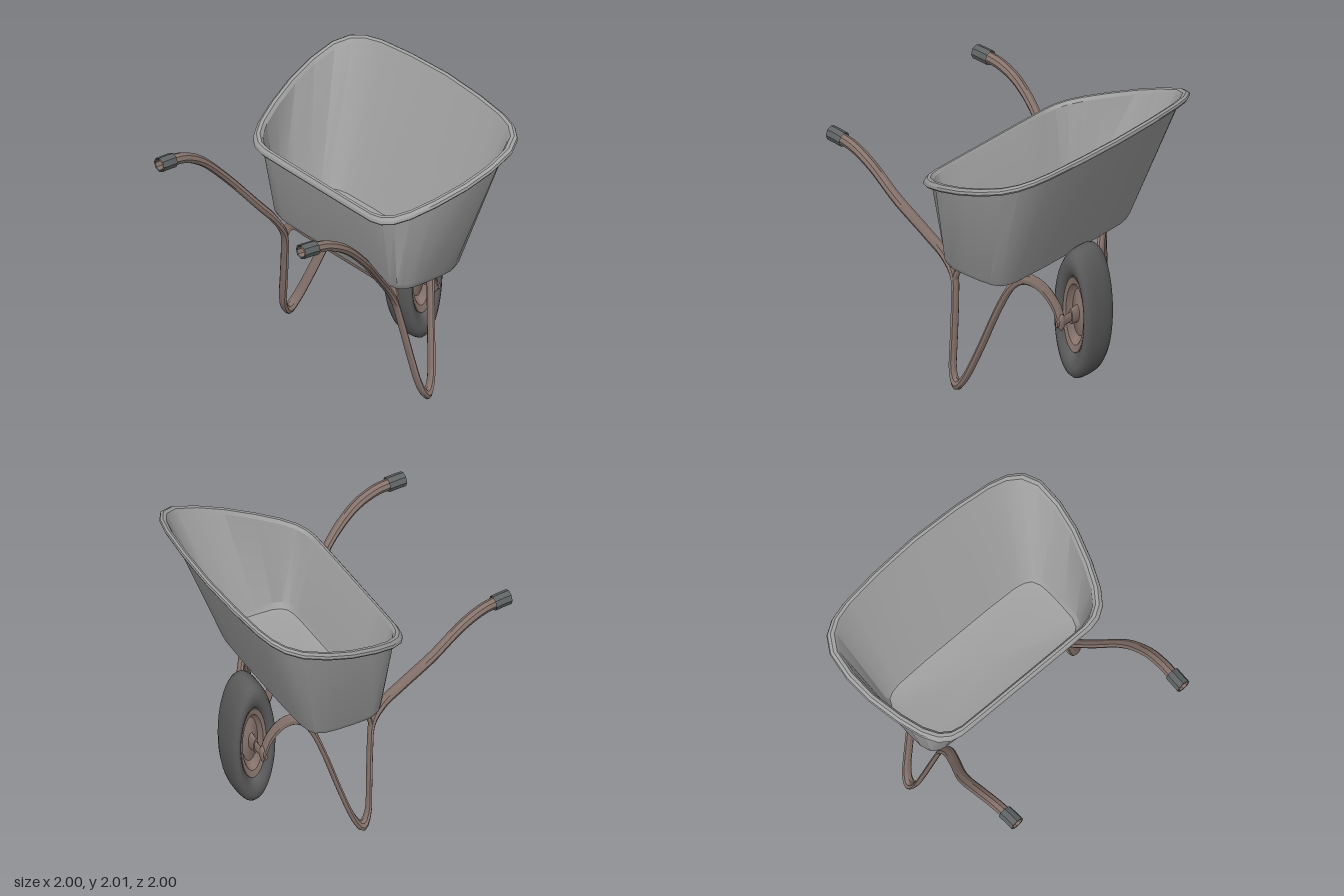
import * as THREE from 'three';
import { toCreasedNormals } from 'three/addons/utils/BufferGeometryUtils.js';

const SQUASH = 1 / 3; // frame and wheel are round before being narrowed along x

const mat = (color, side = THREE.FrontSide) => new THREE.MeshStandardMaterial({ color, side });
const trayMat = mat(0xa0a0a0, THREE.DoubleSide);
const frameMat = mat(0x86736c, THREE.DoubleSide);
const tyreMat = mat(0x5c5c5c);
const gripMat = mat(0x606464, THREE.DoubleSide);

function add(parent, name, geometry, material) {
  const mesh = new THREE.Mesh(geometry, material);
  mesh.name = name;
  parent.add(mesh);
  return mesh;
}

// Tube through [x, y, z] points, with z mirrored by side
function tube(points, side, radius, segments, sides = 8) {
  const path = new THREE.CatmullRomCurve3(
    points.map(([x, y, z]) => new THREE.Vector3(x / SQUASH, y, z * side)));
  return toCreasedNormals(new THREE.TubeGeometry(path, segments, radius, sides), 0.6);
}

// Half outlines [x, z] from the rear centre to the front centre
const RIM = [[-0.22, 0], [-0.22, 0.35], [-0.218, 0.6], [-0.2, 0.69], [-0.15, 0.77], [-0.05, 0.84],
  [0.12, 0.91], [0.35, 0.975], [0.56, 1], [0.75, 0.985], [0.86, 0.92], [0.92, 0.82],
  [0.955, 0.68], [0.985, 0.38], [1, 0]];
const BASE = [[-0.055, 0], [-0.055, 0.3], [-0.055, 0.54], [-0.05, 0.61], [-0.035, 0.67], [0, 0.71],
  [0.07, 0.735], [0.2, 0.74], [0.34, 0.74], [0.44, 0.73], [0.505, 0.7], [0.535, 0.65],
  [0.552, 0.57], [0.56, 0.3], [0.56, 0]];
const mirrorLoop = (half) => [...half, ...half.slice(1, -1).reverse().map(([x, z]) => [x, -z])];

function trayGeometry() {
  const rim = mirrorLoop(RIM), base = mirrorLoop(BASE);
  // Loop grown by e around its centre
  const grow = (loop, cx, hx, hz, e) => loop.map(([x, z]) =>
    [cx + (x - cx) * (1 + 0.75 * e / hx), z * (1 + e / hz)]);
  const baseRow = (e, y) => grow(base, 0.2525, 0.3075, 0.74, e).map(([x, z]) => [x, y, z]);
  const rimRow = (e, dy) => grow(rim, 0.39, 0.61, 1, e).map(([x, z]) => [x, 1.645 + 0.368 * x + dy, z]);
  const centre = (y) => base.map(() => [0.25, y, 0]);
  const rows = [
    centre(0.912), baseRow(-0.08, 0.914), baseRow(-0.025, 0.925), baseRow(0, 0.97), // underside
    rimRow(-0.055, -0.03), // outer wall
    rimRow(-0.01, -0.05), rimRow(0, -0.035), rimRow(-0.005, -0.015), rimRow(-0.025, 0),
    rimRow(-0.05, -0.003), rimRow(-0.07, -0.03), // rolled lip
    baseRow(-0.015, 0.99), baseRow(-0.04, 0.95), baseRow(-0.1, 0.935), centre(0.934), // inside
  ];
  const n = rim.length, index = [];
  for (let r = 0; r < rows.length - 1; r++) {
    for (let i = 0; i < n; i++) {
      const j = (i + 1) % n, a = r * n, b = a + n;
      if (r > 0) index.push(a + i, a + j, b + j);
      if (r < rows.length - 2) index.push(a + i, b + j, b + i);
    }
  }
  const g = new THREE.BufferGeometry();
  g.setAttribute('position', new THREE.Float32BufferAttribute(rows.flat(2), 3));
  g.setIndex(index);
  return toCreasedNormals(g, 0.45);
}

// Symmetric profile [radius, half width] turned around the z axis
function wheelLathe(half, crease) {
  const pts = [...half.map(([r, w]) => new THREE.Vector2(r, -w)),
    ...half.slice().reverse().map(([r, w]) => new THREE.Vector2(r, w))];
  return toCreasedNormals(new THREE.LatheGeometry(pts, 40).rotateX(Math.PI / 2), crease);
}

// One rail: handle, leg loop and fork in a single bend
const RAIL = [[-1, 1.655, 0.775], [-0.87, 1.645, 0.78], [-0.76, 1.62, 0.785], [-0.6, 1.53, 0.785],
  [-0.4, 1.33, 0.755], [-0.2, 1.085, 0.66], [-0.08, 0.935, 0.61], [0, 0.79, 0.605], [0.03, 0.63, 0.635],
  [0.07, 0.35, 0.695], [0.105, 0.14, 0.745], [0.16, 0.05, 0.76], [0.22, 0.13, 0.735], [0.29, 0.36, 0.655],
  [0.36, 0.63, 0.565], [0.42, 0.81, 0.49], [0.475, 0.87, 0.42], [0.55, 0.8, 0.32],
  [0.63, 0.63, 0.245], [0.67, 0.5, 0.235]];

export function createModel() {
  const model = new THREE.Group();
  model.name = 'wheelbarrow';
  add(model, 'tray', trayGeometry(), trayMat);

  const chassis = new THREE.Group();
  chassis.name = 'chassis';
  chassis.scale.x = SQUASH;
  model.add(chassis);

  for (const side of [1, -1]) {
    const label = side > 0 ? 'left' : 'right';
    add(chassis, label + 'Rail', tube(RAIL, side, 0.042, 80), frameMat);
    add(chassis, label + 'Grip',
      tube([[-1, 1.655, 0.775], [-0.935, 1.652, 0.777], [-0.87, 1.645, 0.78]], side, 0.055, 3), gripMat);

    // Flattened fork end around the axle
    const tip = add(chassis, label + 'ForkEnd', new THREE.SphereGeometry(1, 10, 8), frameMat);
    tip.scale.set(0.06, 0.065, 0.035);
    tip.position.set(0.67 / SQUASH, 0.515, 0.235 * side);

    // Bolt holding the tray on the fork bend
    const bolt = add(chassis, label + 'TrayMount', new THREE.CylinderGeometry(0.05, 0.05, 0.06, 8), frameMat);
    bolt.position.set(0.47 / SQUASH, 0.895, 0.43 * side);
  }

  // Brace under the tray, bent down to both legs
  const half = [[0.005, 0.77, 0.61], [0.018, 0.84, 0.59], [0.027, 0.88, 0.54], [0.028, 0.88, 0.4]];
  add(chassis, 'crossBrace',
    tube([...half, ...half.slice().reverse().map(([x, y, z]) => [x, y, -z])], 1, 0.035, 40), frameMat);

  // Wheel
  const wheel = new THREE.Group();
  wheel.name = 'wheel';
  wheel.position.set(0.67 / SQUASH, 0.52, 0);
  chassis.add(wheel);
  add(wheel, 'tyre', wheelLathe([[0.29, 0.07], [0.305, 0.1], [0.33, 0.123], [0.37, 0.14], [0.43, 0.145],
    [0.475, 0.132], [0.505, 0.1], [0.517, 0.06], [0.52, 0.02]], 0.8), tyreMat);
  add(wheel, 'wheelRim', wheelLathe([[0, 0.14], [0.06, 0.14], [0.07, 0.07], [0.19, 0.045], [0.22, 0.06],
    [0.245, 0.095], [0.3, 0.105], [0.315, 0.09]], 0.5), frameMat);
  for (const [name, radius, length, sides] of [['axle', 0.04, 0.46, 12], ['axleNuts', 0.03, 0.58, 6]]) {
    add(wheel, name, toCreasedNormals(
      new THREE.CylinderGeometry(radius, radius, length, sides).rotateX(Math.PI / 2), 0.6), frameMat);
  }
  return model;
}
